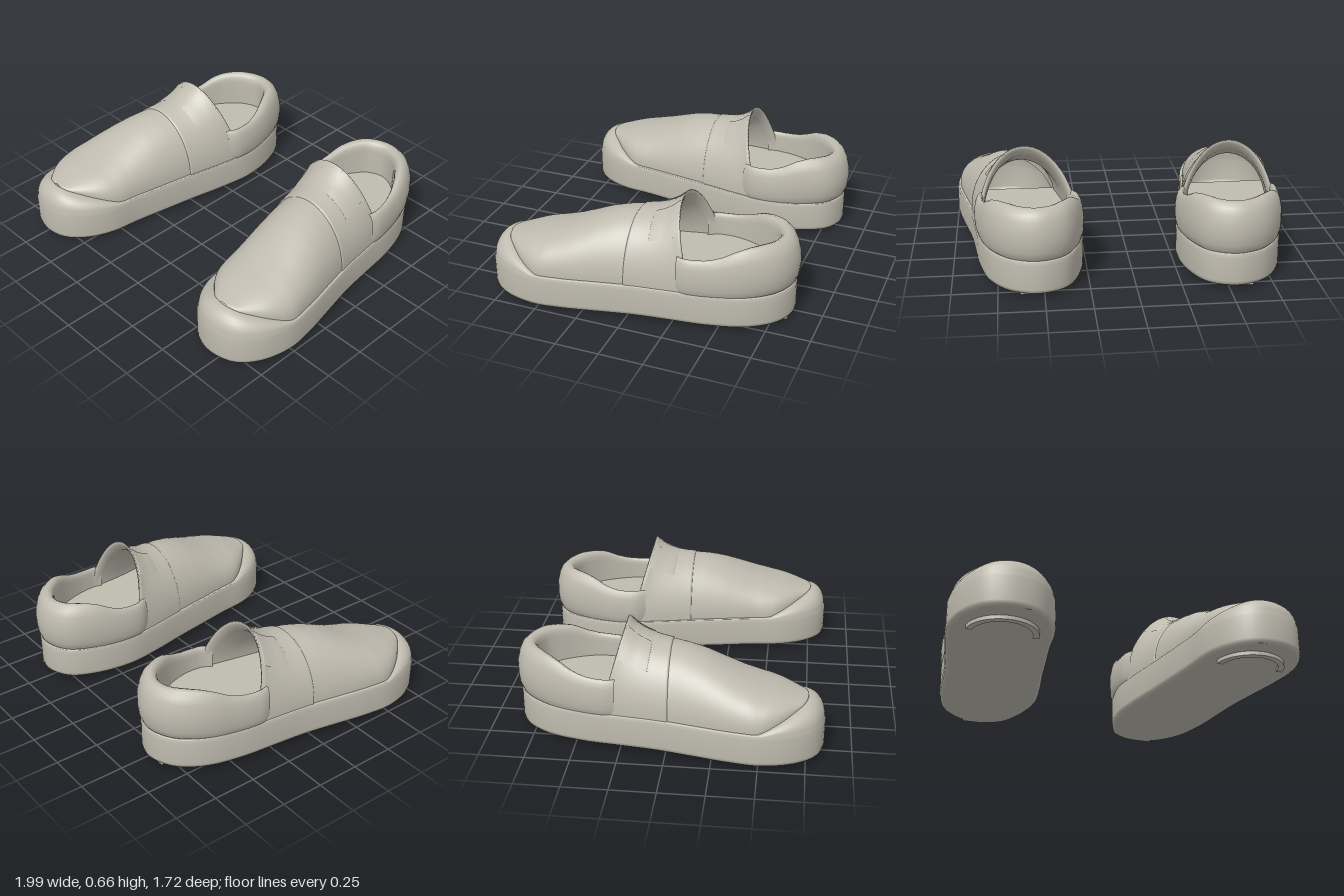
import * as THREE from 'three';

const { smoothstep, lerp } = THREE.MathUtils;

// Sole outline (x, z) of the left shoe: toe, outer side, heel, inner side
const OUTLINE = [
  [0.72, 0.85], [0.86, 0.81], [0.95, 0.7], [0.996, 0.52], [0.98, 0.35], [0.94, 0.15],
  [0.9, -0.05], [0.875, -0.25], [0.85, -0.45], [0.79, -0.66], [0.68, -0.8], [0.53, -0.85],
  [0.385, -0.79], [0.305, -0.64], [0.268, -0.42], [0.295, -0.2], [0.335, 0], [0.37, 0.2],
  [0.405, 0.4], [0.43, 0.58], [0.49, 0.72], [0.59, 0.82],
];
// Heights along the shoe, as (z, y)
const VAMP_TOP = [
  [-0.24, 0.665], [-0.2, 0.62], [-0.15, 0.588], [-0.1, 0.567], [-0.05, 0.555], [0, 0.548], [0.1, 0.535],
  [0.2, 0.508], [0.3, 0.468], [0.4, 0.427], [0.5, 0.394], [0.6, 0.368], [0.7, 0.338], [0.78, 0.318],
];
const COLLAR_TOP = [
  [-0.85, 0.492], [-0.75, 0.498], [-0.67, 0.492], [-0.6, 0.475], [-0.52, 0.437], [-0.45, 0.417],
  [-0.37, 0.41], [-0.3, 0.41], [-0.2, 0.405],
];

function heightAt(table, z) {
  if (z <= table[0][0]) return table[0][1];
  for (let i = 1; i < table.length; i++) {
    const [z0, y0] = table[i - 1], [z1, y1] = table[i];
    if (z <= z1) return lerp(y0, y1, (z - z0) / (z1 - z0));
  }
  return table[table.length - 1][1];
}

// Evenly spaced outline points with outward normals
const curve = new THREE.CatmullRomCurve3(OUTLINE.map(([x, z]) => new THREE.Vector3(x, 0, z)), true);
const N = 128;
const loop = Array.from({ length: N }, (_, i) => {
  const p = curve.getPointAt(i / N), t = curve.getTangentAt(i / N);
  return { x: p.x, z: p.z, nx: -t.z, nz: t.x };
});
const inset = (p, d, y) => [p.x - p.nx * d, y, p.z - p.nz * d];

// Toe cap edge: a sloping line that rises toward the toe
const capInset = (z) => 0.012 + 0.078 * smoothstep(z, 0.45, 0.8);
const capHeight = (z) => 0.21 + 0.423 * Math.max(0, z - 0.5);
const capLine = loop.map((p) => {
  const q = inset(p, 0.006 + capInset(p.z), 0);
  return [q[0], capHeight(q[2]), q[2]];
});
const capTip = Math.max(...capLine.map((p) => p[2]));

// Inner and outer x of the cap line at a given z
function span(z) {
  let lo = Infinity, hi = -Infinity;
  capLine.forEach((a, i) => {
    const b = capLine[(i + 1) % N];
    if ((a[2] - z) * (b[2] - z) > 0 || a[2] === b[2]) return;
    const x = lerp(a[0], b[0], (z - a[2]) / (b[2] - a[2]));
    lo = Math.min(lo, x);
    hi = Math.max(hi, x);
  });
  return [lo, hi];
}

// Surface through rows of points; side -1 mirrors it
function loft(rows, closed, side) {
  const n = rows[0].length, index = [];
  for (let i = 0; i < rows.length - 1; i++) {
    for (let j = 0; j < (closed ? n : n - 1); j++) {
      const k = (j + 1) % n;
      const a = i * n + j, b = i * n + k, c = (i + 1) * n + k, d = (i + 1) * n + j;
      if (side > 0) index.push(a, b, c, a, c, d);
      else index.push(a, c, b, a, d, c);
    }
  }
  const pos = rows.flat().flatMap(([x, y, z]) => [x * side, y, z]);
  const g = new THREE.BufferGeometry();
  g.setAttribute('position', new THREE.Float32BufferAttribute(pos, 3));
  g.setIndex(index);
  g.computeVertexNormals();
  return g;
}

// Point on the arched front upper; the rear edge leans back toward the sides
function vampPoint(zs, angle, grow) {
  const e = lerp(1, 0.85, smoothstep(zs, 0, 0.6));
  const s = Math.pow(Math.max(0, Math.sin(angle)), e), co = Math.cos(angle);
  const z = zs - 0.125 * smoothstep(-zs, 0, 0.23) * (1 - s);
  const [lo, hi] = span(z);
  const base = capHeight(z) - 0.004;
  const w = (hi - lo) / 2 + grow;
  const h = Math.max(0.004, heightAt(VAMP_TOP, zs) - base + grow);
  return [(lo + hi) / 2 + w * Math.sign(co) * Math.pow(Math.abs(co), e), base + h * s, z];
}
function vampRow(zs, grow, from = Math.PI, to = 0, n = 48) {
  return Array.from({ length: n + 1 }, (_, j) => vampPoint(zs, lerp(from, to, j / n), grow));
}

function buildShoe(side, fabric) {
  const shoe = new THREE.Group();
  const add = (name, geometry) => {
    const m = new THREE.Mesh(geometry, fabric);
    m.name = name;
    shoe.add(m);
  };

  // Sole wall with a rolled toe cap
  const wall = [[0.02, 0.022], [0.005, 0.03], [0, 0.05], [0, 0.12], [0, 0.185], [0.006, 0.205]]
    .map(([d, y]) => loop.map((p) => inset(p, d, y)));
  for (let k = 1; k <= 8; k++) {
    const a = (k / 8) * Math.PI / 2;
    wall.push(loop.map((p, i) => inset(p, 0.006 + capInset(p.z) * (1 - Math.cos(a)),
      lerp(0.205, capLine[i][1], Math.sin(a)))));
  }
  add('soleWall', loft(wall, true, side));

  // Flat underside and the raised arc under the toe
  const under = loop.map((p) => inset(p, 0.02, 0.022));
  add('outsole', loft([under.map((p) => [0.63, 0.022, p[2]]), under], true, side));
  const arc = new THREE.Shape();
  arc.absarc(0, 0, 0.2, 0.1, Math.PI - 0.1, false);
  arc.absarc(0, 0, 0.165, Math.PI - 0.1, 0.1, true);
  const ridge = new THREE.ExtrudeGeometry(arc, { depth: 0.025, bevelEnabled: false, curveSegments: 24 });
  ridge.rotateX(Math.PI / 2);
  ridge.translate(0.71 * side, 0.025, 0.53);
  add('treadArc', ridge);

  // Front upper: toe panel, then the slightly thicker instep panel with its lining
  const toeRows = [];
  for (let i = 0; i <= 36; i++) toeRows.push(vampRow(lerp(capTip - 0.002, 0, Math.pow(i / 36, 1.5)), 0));
  add('toePanel', loft(toeRows, false, side));
  const instep = [vampRow(0.012, 0), vampRow(0.006, 0.006)];
  for (let i = 0; i <= 14; i++) instep.push(vampRow(lerp(0, -0.23, i / 14), 0.006));
  instep.push(vampRow(-0.236, -0.004), vampRow(-0.232, -0.018), vampRow(-0.2, -0.026),
    vampRow(-0.1, -0.03), vampRow(0.1, -0.03));
  add('instepPanel', loft(instep, false, side));

  // Stretch inserts either side of the instep
  for (const [name, from, to] of [['innerGore', 2.3, 1.79], ['outerGore', 1.35, 0.75]]) {
    const rows = [[-0.225, 0.005], [-0.22, 0.011], [-0.18, 0.011], [-0.14, 0.011], [-0.095, 0.011], [-0.09, 0.005]]
      .reverse().map(([z, g]) => vampRow(z, g, from, to, 10));
    add(name, loft(rows, false, side));
  }

  // Heel quarter with padded collar: (share of collar thickness, share of height)
  const heel = loop.filter((p) => p.z < -0.25);
  const profile = [[0.25, 0], [0.06, 0.06], [-0.1, 0.2], [-0.16, 0.4], [-0.13, 0.6], [0, 0.78], [0.16, 0.9],
    [0.4, 0.98], [0.65, 1], [0.85, 0.97], [0.97, 0.9], [1, 0.8], [1, 0.5], [1, 0.1]];
  const quarter = profile.map(([f, h]) => heel.map((p) => {
    const thick = lerp(0.1, 0.045, smoothstep(p.z, -0.85, -0.4));
    const tuck = 0.025 * smoothstep(p.z, -0.33, -0.25);
    return inset(p, thick * f + tuck, lerp(0.2, heightAt(COLLAR_TOP, p.z), h));
  }));
  add('heelQuarter', loft(quarter, false, side));

  // Insole
  const rim = loop.filter((p) => p.z < 0.15).map((p) => inset(p, 0.04, 0.28));
  add('insole', loft([rim, rim.map((p) => [0.58, 0.28, p[2]])], false, side));
  return shoe;
}

export function createModel() {
  const model = new THREE.Group();
  model.name = 'shoes';
  const fabric = new THREE.MeshStandardMaterial({ color: 0xbfbbaf, side: THREE.DoubleSide });
  fabric.name = 'warm grey';
  for (const [name, side] of [['leftShoe', 1], ['rightShoe', -1]]) {
    const shoe = buildShoe(side, fabric);
    shoe.name = name;
    model.add(shoe);
  }
  return model;
}
